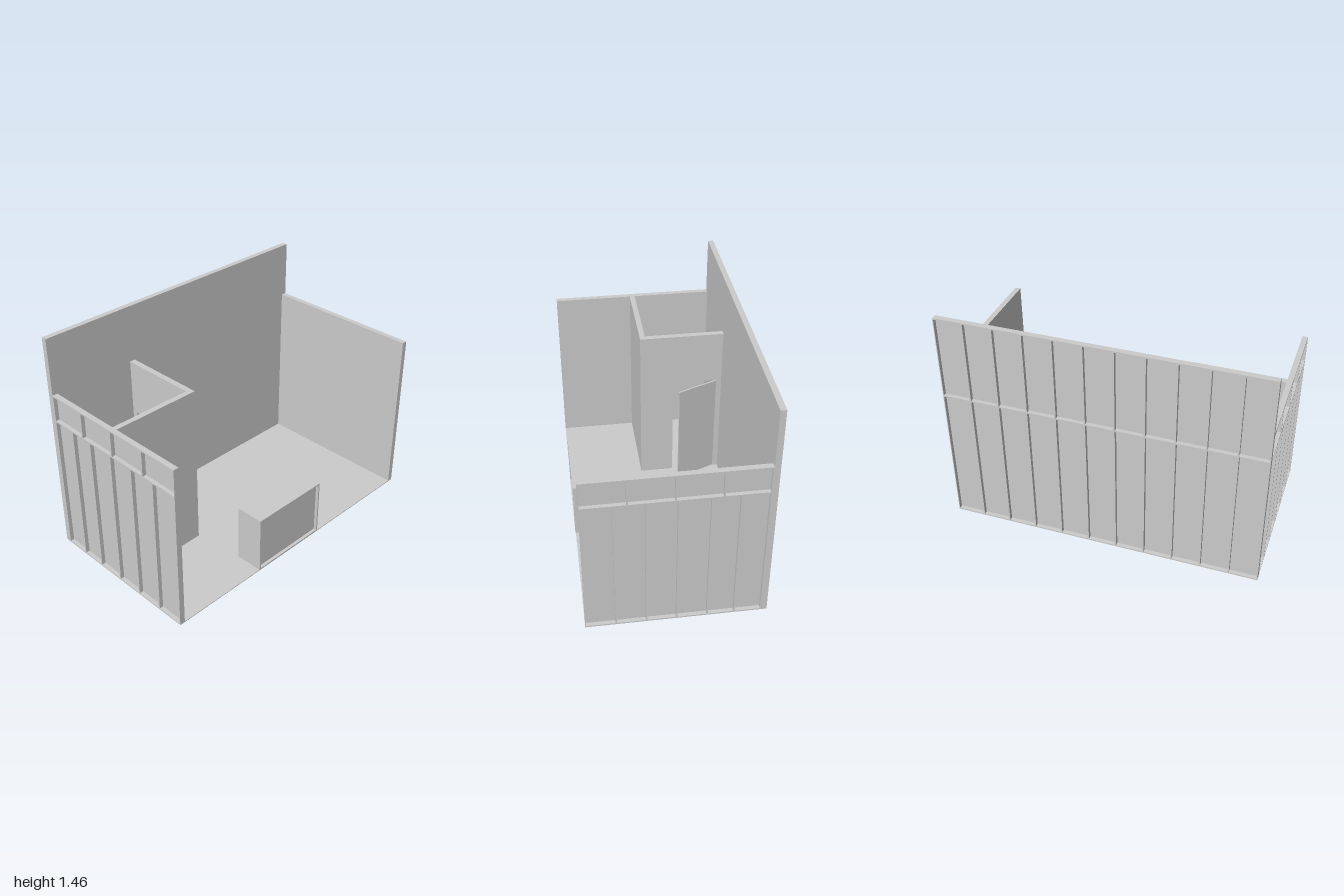
import * as THREE from 'three';

const material = new THREE.MeshStandardMaterial({ color: 0xcccccc });

// Box given by its minimum and maximum corners
function box(parent, name, [x0, y0, z0], [x1, y1, z1]) {
  const mesh = new THREE.Mesh(new THREE.BoxGeometry(x1 - x0, y1 - y0, z1 - z0), material);
  mesh.name = name;
  mesh.position.set((x0 + x1) / 2, (y0 + y1) / 2, (z0 + z1) / 2);
  parent.add(mesh);
  return mesh;
}

const FLOOR = 0.005, LOW = 1.09, HIGH = 1.457, RAIL = 0.914;
const DEPTH = 0.035, SHEET = 0.01, STUD = 0.009;

// Flat: smooth sheet inside (z = 0), frame of studs and rails outside (z = DEPTH)
function framedWall(name, x0, x1, height, lowerStuds, upperStuds) {
  const wall = new THREE.Group();
  wall.name = name;
  box(wall, 'sheet', [x0, 0, 0], [x1, height, SHEET]);
  const bar = (part, ax, ay, bx, by) => box(wall, part, [ax, ay, SHEET], [bx, by, DEPTH]);
  const h = STUD / 2;
  bar('bottomRail', x0, 0, x1, STUD);
  bar('middleRail', x0, RAIL - h, x1, RAIL + h);
  bar('topRail', x0, height - STUD, x1, height);
  const rows = [[lowerStuds, STUD, RAIL - h], [upperStuds, RAIL + h, height - STUD]];
  for (const [studs, y0, y1] of rows) {
    bar('endStud', x0, y0, x0 + STUD * 0.6, y1);
    bar('endStud', x1 - STUD * 0.6, y0, x1, y1);
    for (const x of studs) bar('stud', x - h, y0, x + h, y1);
  }
  return wall;
}

export function createModel() {
  const model = new THREE.Group();
  model.name = 'roomSection';
  box(model, 'floor', [-0.545, 0, -1], [0.54, FLOOR, 1]);

  // Low framed walls at the front and back
  const lower = [-0.347, -0.185, -0.003, 0.176, 0.357];
  const upper = [-0.25, 0.014, 0.277];
  const front = framedWall('frontWall', -0.51, 0.539, LOW, lower, upper);
  front.position.z = 1 - DEPTH;
  const back = framedWall('backWall', -0.539, 0.51, LOW, lower.map(x => -x), upper.map(x => -x));
  back.rotation.y = Math.PI;
  back.position.z = -1 + DEPTH;

  // Tall framed side wall
  const studs = Array.from({ length: 10 }, (_, i) => -1 + (i + 1) * 2 / 11);
  const side = framedWall('tallSideWall', -1, 1, HIGH, studs, studs);
  side.rotation.y = -Math.PI / 2;
  side.position.x = -0.51;
  model.add(front, back, side);

  // Corner closet: one plain partition and one with a doorway
  const closet = new THREE.Group();
  closet.name = 'closet';
  model.add(closet);
  box(closet, 'sidePartition', [0, FLOOR, 0.42], [0.035, LOW, 0.965]);
  const s = new THREE.Shape();
  s.moveTo(-0.51, FLOOR);
  [[-0.475, FLOOR], [-0.475, 0.735], [-0.185, 0.735], [-0.185, FLOOR],
    [0.035, FLOOR], [0.035, LOW], [-0.51, LOW]].forEach(p => s.lineTo(...p));
  s.closePath();
  const doorWall = new THREE.Mesh(
    new THREE.ExtrudeGeometry(s, { depth: 0.037, bevelEnabled: false }), material);
  doorWall.name = 'doorPartition';
  doorWall.position.z = 0.383;
  closet.add(doorWall);

  // Door standing ajar on its hinge
  const hinge = new THREE.Group();
  hinge.name = 'door';
  hinge.position.set(-0.473, 0, 0.383);
  hinge.rotation.y = Math.atan2(0.11, 0.262);
  box(hinge, 'doorLeaf', [0, 0.012, -0.005], [0.287, 0.733, 0.005]);
  closet.add(hinge);

  // Low cabinet with a rimmed, recessed face towards the open side
  const cabinet = new THREE.Group();
  cabinet.name = 'cabinet';
  model.add(cabinet);
  const [z0, z1, top, rim, x0, x1, face] = [-0.195, 0.345, 0.385, 0.01, 0.36, 0.543, 0.523];
  box(cabinet, 'cabinetBody', [x0, FLOOR, z0], [face, top, z1]);
  box(cabinet, 'topRim', [face, top - rim, z0], [x1, top, z1]);
  box(cabinet, 'bottomRim', [face, FLOOR, z0], [x1, FLOOR + rim, z1]);
  for (const z of [z0, z1 - rim])
    box(cabinet, 'sideRim', [face, FLOOR + rim, z], [x1, top - rim, z + rim]);

  return model;
}
